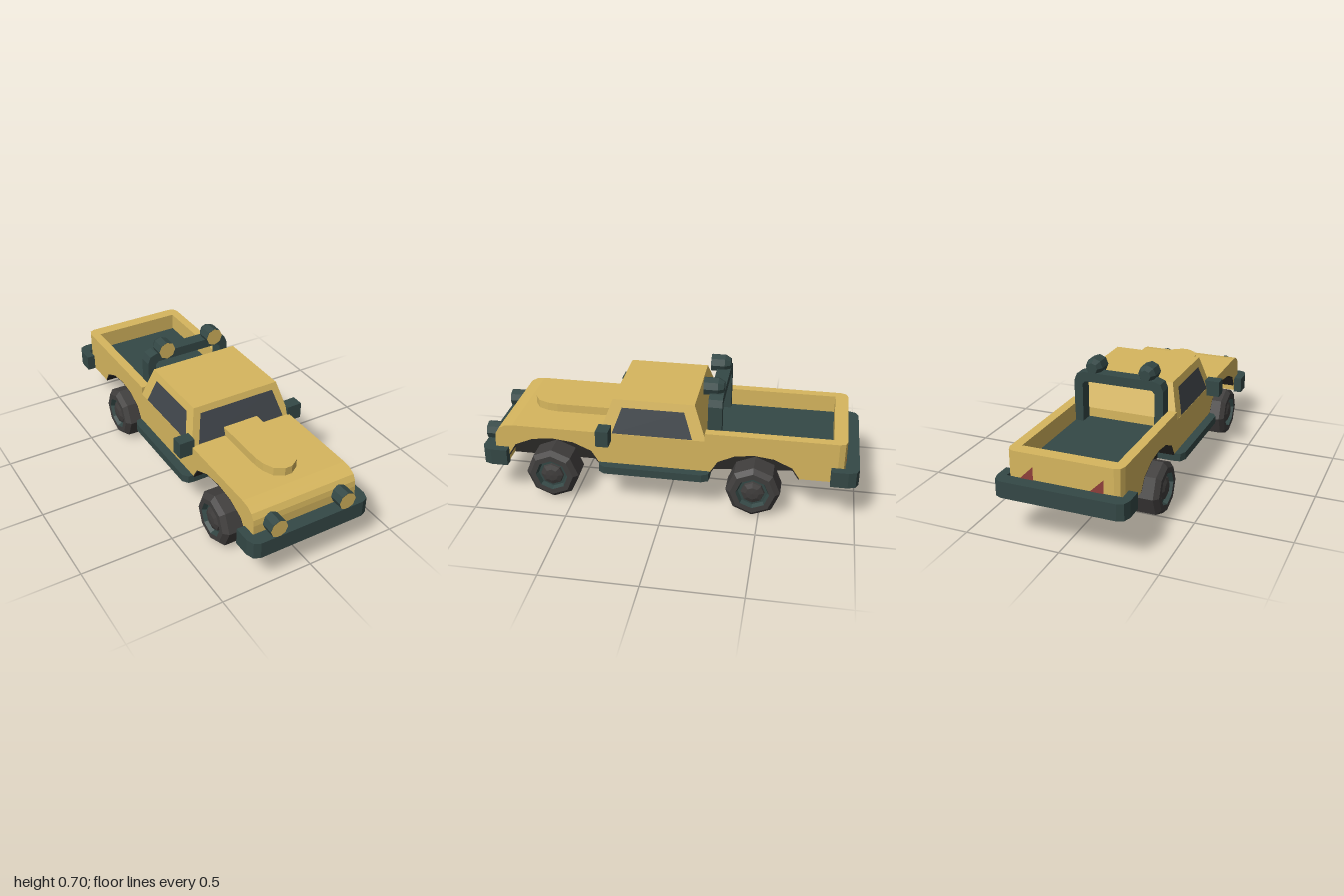
import * as THREE from 'three';

const mat = (color, side = THREE.FrontSide) =>
  new THREE.MeshStandardMaterial({ color, side, flatShading: true });
const paint = mat(0xd6b65e), trim = mat(0x344846), rubber = mat(0x403e3d);
const under = mat(0x2a2826), glass = mat(0x40464b, THREE.DoubleSide), red = mat(0x8f3f3a, THREE.DoubleSide);

const shapeOf = (pts) => new THREE.Shape(pts.map(([a, b]) => new THREE.Vector2(a, b)));
const extrude = (pts, depth) =>
  new THREE.ExtrudeGeometry(shapeOf(pts), { depth, bevelEnabled: false });
const mirrored = (half) => [...half, ...half.slice().reverse().map(([x, z]) => [-x, z])];

// Side profile (z, y) extruded across the width
const across = (pts, halfWidth) =>
  extrude(pts, halfWidth * 2).translate(0, 0, -halfWidth).rotateY(-Math.PI / 2);
// Plan outline (x, z) extruded between two heights
const plan = (pts, y0, y1) => extrude(pts, y1 - y0).rotateX(Math.PI / 2).translate(0, y1, 0);

// Flat panel from a fan of corners
function panel(pts) {
  const g = new THREE.BufferGeometry();
  g.setAttribute('position', new THREE.Float32BufferAttribute(pts.flat(), 3));
  const index = [];
  for (let i = 1; i < pts.length - 1; i++) index.push(0, i, i + 1);
  g.setIndex(index);
  g.computeVertexNormals();
  return g;
}

export function createModel() {
  const group = new THREE.Group();
  const add = (name, geometry, material, parent = group) => {
    const mesh = new THREE.Mesh(geometry, material);
    mesh.name = name;
    parent.add(mesh);
    return mesh;
  };

  // Wheel arch outlines, front to back
  const frontArch = [[0.86, 0.225], [0.82, 0.29], [0.72, 0.333], [0.61, 0.345],
    [0.5, 0.333], [0.4, 0.29], [0.36, 0.225]];
  const rearArch = [[-0.235, 0.225], [-0.275, 0.29], [-0.365, 0.333], [-0.465, 0.345],
    [-0.565, 0.333], [-0.66, 0.29], [-0.7, 0.23]];

  // Body with rounded nose, hood and cut-out arches
  add('body', across([
    [0.86, 0.19], ...frontArch, ...rearArch,
    [-0.7, 0.35], [-0.212, 0.35], [-0.212, 0.405],
    [0.83, 0.405], [0.875, 0.399], [0.908, 0.38], [0.925, 0.35], [0.93, 0.32], [0.93, 0.19],
  ], 0.295), paint);

  for (const [arch, c] of [[frontArch, 0.61], [rearArch, -0.465]]) {
    const inner = arch.map(([z, y]) => [c + (z - c) * 0.98, y - 0.004]);
    add('archLiner', across([...arch, ...inner.reverse()], 0.294), under);
  }

  // Tail and cargo bed
  add('tail', plan(mirrored([[0.295, -0.7], [0.295, -0.89], [0.283, -0.92], [0.255, -0.93]]), 0.23, 0.35), paint);
  add('bedWalls', plan([
    [0.295, -0.205], [0.295, -0.89], [0.283, -0.92], [0.255, -0.93],
    [-0.255, -0.93], [-0.283, -0.92], [-0.295, -0.89], [-0.295, -0.205],
    [-0.245, -0.205], [-0.245, -0.86], [0.245, -0.86], [0.245, -0.205],
  ], 0.35, 0.45), paint);
  add('bedFloor', new THREE.BoxGeometry(0.49, 0.01, 0.648).translate(0, 0.35, -0.536), trim);

  // Underbody and side steps
  add('chassis', across([[0.93, 0.187], [-0.235, 0.187], [-0.7, 0.222], [-0.7, 0.34], [0.86, 0.34], [0.92, 0.3]], 0.2), under);
  add('floorPan', new THREE.BoxGeometry(0.58, 0.04, 0.585).translate(0, 0.203, 0.0625), under);
  add('sideSteps', plan(mirrored([[0.29, 0.36], [0.32, 0.355], [0.342, 0.325],
    [0.342, -0.195], [0.325, -0.23], [0.29, -0.235]]), 0.186, 0.228), trim);

  // Tapered cab
  const cab = new THREE.BoxGeometry(2, 1, 2);
  const p = cab.attributes.position;
  for (let i = 0; i < p.count; i++) {
    const top = p.getY(i) > 0, front = p.getZ(i) > 0;
    p.setXYZ(i, p.getX(i) * (top ? 0.247 : 0.295), top ? 0.585 : 0.403,
      front ? (top ? 0.285 : 0.352) : (top ? -0.145 : -0.212));
  }
  add('cab', cab, paint);

  // Windows lie just proud of the sloping cab faces
  const slope = (y, a, b) => a + (b - a) * (y - 0.403) / 0.182 + 0.002;
  add('windshield', panel([[-0.255, 0.408], [0.255, 0.408], [0.215, 0.553], [-0.215, 0.553]]
    .map(([x, y]) => [x, y, slope(y, 0.352, 0.285)])), glass);
  for (const s of [1, -1]) {
    add('sideWindow', panel([[0.285, 0.408], [-0.14, 0.408], [-0.092, 0.545], [0.235, 0.545]]
      .map(([z, y]) => [s * slope(y, 0.295, 0.247), y, z])), glass);
    add('mirror', new THREE.BoxGeometry(0.085, 0.088, 0.067).translate(s * 0.325, 0.406, 0.323), trim);
  }

  // Hood scoop
  add('hoodScoop', plan(mirrored([[0.1, 0.33], [0.1, 0.635], [0.092, 0.69], [0.068, 0.745], [0.02, 0.776]]), 0.4, 0.45), paint);

  // Wrap-around bumpers
  const bumper = (s) => {
    const outer = mirrored([[0.342, 0.857], [0.342, 0.945], [0.328, 0.985], [0.295, 1]]);
    const inner = [[-0.297, 0.857], [-0.297, 0.928], [0.297, 0.928], [0.297, 0.857]];
    return [...outer, ...inner].map(([x, z]) => [x, s * z]);
  };
  add('frontBumper', plan(bumper(1), 0.182, 0.272), trim);
  add('rearBumper', plan(bumper(-1), 0.23, 0.316), trim);

  // Roll bar behind the cab
  add('rollBar', extrude([
    [0.247, 0.35], [0.247, 0.58], [0.232, 0.617], [0.195, 0.63],
    [-0.195, 0.63], [-0.232, 0.617], [-0.247, 0.58], [-0.247, 0.35],
    [-0.2, 0.35], [-0.2, 0.565], [-0.185, 0.58], [0.185, 0.58], [0.2, 0.565], [0.2, 0.35],
  ], 0.073).translate(0, 0, -0.286), trim);

  // Eight-sided lamps with coloured lenses
  const lamp = (name, x, y, back, front, backRadius) => {
    const lampGroup = new THREE.Group();
    lampGroup.name = name;
    lampGroup.position.set(x, y, 0);
    group.add(lampGroup);
    const bevel = back + (0.048 - backRadius) * 1.7;
    const profile = [[0, back], [backRadius, back], [0.048, bevel], [0.048, front], [0, front]];
    add('lampHousing', new THREE.LatheGeometry(profile.map(([r, h]) => new THREE.Vector2(r, h)), 8)
      .rotateX(Math.PI / 2), trim, lampGroup);
    add('lampLens', new THREE.CircleGeometry(0.048, 8).translate(0, 0, front + 0.002), paint, lampGroup);
  };
  for (const s of [1, -1]) {
    lamp('roofLamp', s * 0.147, 0.653, -0.285, -0.18, 0.03);
    lamp('headlight', s * 0.197, 0.316, 0.92, 0.997, 0.048);
  }

  // Tail lights
  for (const x of [0.2, -0.16]) {
    add('tailLight', panel([[x + 0.045, 0.295, -0.933], [x - 0.045, 0.295, -0.933], [x - 0.045, 0.385, -0.933]]), red);
  }

  // Eight-sided wheels: tyre, rim and hub, axis along x
  const ring = (pts) => new THREE.LatheGeometry(pts.map(([r, h]) => new THREE.Vector2(r, h)), 8).rotateZ(-Math.PI / 2);
  const tyre = ring([[0, 0], [0.143, 0], [0.143, 0.118], [0.118, 0.142], [0.088, 0.142]]);
  const rim = ring([[0.088, 0.142], [0.078, 0.118], [0, 0.118]]);
  const hub = ring([[0.064, 0.117], [0.06, 0.13], [0.035, 0.14], [0, 0.143]]);
  for (const s of [1, -1]) {
    for (const z of [0.615, -0.465]) {
      const wheel = new THREE.Group();
      wheel.name = z > 0 ? 'frontWheel' : 'rearWheel';
      wheel.position.set(s * 0.2, 0.143, z);
      if (s < 0) wheel.rotation.y = Math.PI;
      group.add(wheel);
      add('tyre', tyre, rubber, wheel);
      add('rim', rim, trim, wheel);
      add('hub', hub, rubber, wheel);
    }
  }
  return group;
}
